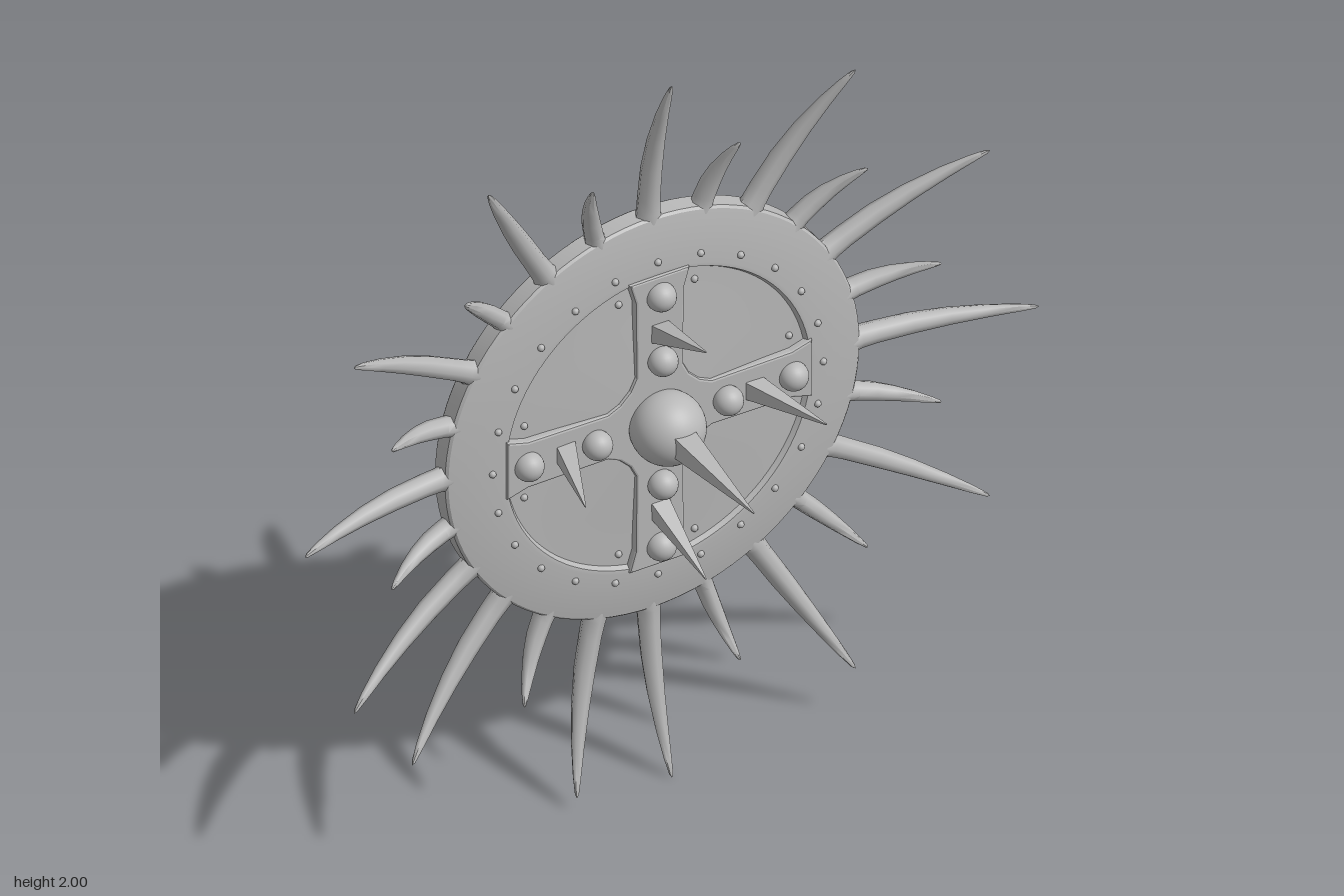
import * as THREE from 'three';
import { toCreasedNormals } from 'three/addons/utils/BufferGeometryUtils.js';

const steel = new THREE.MeshStandardMaterial({ color: 0xb8b8b8 });
steel.name = 'steel grey';

export function createModel() {
  const model = new THREE.Group();
  model.name = 'spikedShield';
  const shield = new THREE.Group(); // origin at the disc centre
  shield.name = 'shield';
  shield.position.y = 1;
  model.add(shield);

  const add = (name, geo, x = 0, y = 0, z = 0) => {
    const m = new THREE.Mesh(geo, steel);
    m.name = name;
    m.position.set(x, y, z);
    shield.add(m);
    return m;
  };
  const around = (r, deg) => [r * Math.cos(deg * Math.PI / 180), r * Math.sin(deg * Math.PI / 180)];

  // Disc: hollow in the back, raised rim, broad front ring, recessed centre
  const profile = [
    [0, -0.165], [0.05, -0.17], [0.08, -0.18], [0.092, -0.19], [0.515, -0.19], [0.52, -0.186],
    [0.53, -0.186], [0.535, -0.194], [0.56, -0.194], [0.564, -0.188], [0.564, -0.142], [0.558, -0.136],
    [0.425, -0.112], [0.415, -0.113], [0.408, -0.125], [0.3, -0.122], [0.15, -0.113], [0, -0.11],
  ].map(p => new THREE.Vector2(...p));
  const disc = add('disc', toCreasedNormals(new THREE.LatheGeometry(profile, 96), 0.45));
  disc.rotation.x = Math.PI / 2;

  // Raised cross with flared middle and ends
  const cross = new THREE.Shape();
  const quarter = [[0.41, -0.075], [0.41, 0.075], [0.36, 0.06], [0.14, 0.058], [0.105, 0.075], [0.075, 0.105], [0.058, 0.14], [0.06, 0.36]];
  const outline = [];
  for (let k = 0; k < 4; k++) {
    const c = Math.round(Math.cos(k * Math.PI / 2)), s = Math.round(Math.sin(k * Math.PI / 2));
    quarter.forEach(([x, y]) => outline.push(new THREE.Vector2(x * c - y * s, x * s + y * c)));
  }
  cross.setFromPoints(outline);
  add('cross', new THREE.ExtrudeGeometry(cross, {
    depth: 0.02, bevelEnabled: true, bevelSize: 0.006, bevelThickness: 0.006, bevelSegments: 2,
  }), 0, 0, -0.13);

  // Rim spikes: tapering, curling forward
  const spikeGeometry = (start, length, tipZ, width) => {
    const rows = [[0, 1.35], [0.06, 1.08], [0.15, 1], [0.35, 0.95], [0.55, 0.8], [0.75, 0.58], [0.9, 0.36], [0.98, 0.18], [1, 0]];
    const n = 8, pos = [], idx = [];
    rows.forEach(([t, s], i) => {
      for (let a = 0; a < n; a++) {
        const q = a * 2 * Math.PI / n;
        pos.push(start + t * length, width * s * Math.cos(q),
          -0.161 + (tipZ + 0.161) * Math.pow(t, 1.9) + Math.min(s, 1) * 0.028 * Math.sin(q));
        if (i < rows.length - 1) {
          const b = i * n + a, c = i * n + (a + 1) % n;
          idx.push(b, c, b + n, c, c + n, b + n);
        }
      }
    });
    const g = new THREE.BufferGeometry();
    g.setAttribute('position', new THREE.Float32BufferAttribute(pos, 3));
    g.setIndex(idx);
    return toCreasedNormals(g, 0.9);
  };
  const longSpike = spikeGeometry(0.545, 0.455, -0.05, 0.028);
  const shortSpike = spikeGeometry(0.545, 0.23, -0.075, 0.024);
  for (let deg = 0; deg < 360; deg += 15) {
    const long = deg === 225 || deg === 255 || (deg % 30 === 0 && deg !== 240);
    add(long ? 'longSpike' : 'shortSpike', long ? longSpike : shortSpike).rotation.z = deg * Math.PI / 180;
  }

  // Rivets round the ring and beside the cross ends
  const rivet = new THREE.SphereGeometry(0.009, 10, 8);
  for (let deg = 0; deg < 360; deg += 15) add('rivet', rivet, ...around(0.45, deg), -0.115);
  for (let k = 0; k < 4; k++) {
    for (const off of [-16, 16]) add('innerRivet', rivet, ...around(0.375, k * 90 + off), -0.122);
  }

  // Square pyramid thorn between two points
  const thorn = (name, from, to, radius) => {
    const a = new THREE.Vector3(...from), b = new THREE.Vector3(...to);
    const dir = b.clone().sub(a), len = dir.length();
    const g = new THREE.CylinderGeometry(0.002, radius, len, 4).toNonIndexed();
    g.rotateY(Math.PI / 4);
    g.computeVertexNormals();
    g.rotateX(Math.PI / 2);
    const m = add(name, g, ...a.clone().add(b).multiplyScalar(0.5).toArray());
    m.quaternion.setFromUnitVectors(new THREE.Vector3(0, 0, 1), dir.normalize());
  };

  // Central boss and the studs and thorns along each arm
  add('centreBoss', new THREE.SphereGeometry(0.092, 40, 28), 0, 0, -0.07);
  thorn('centreThorn', [0, 0, 0], [0, 0, 0.33], 0.042);
  const stud = new THREE.SphereGeometry(0.037, 24, 16);
  for (let deg = 0; deg < 360; deg += 90) {
    add('innerStud', stud, ...around(0.178, deg), -0.092);
    add('outerStud', stud, ...around(0.36, deg), -0.1);
    thorn('armThorn', [...around(0.255, deg), -0.11], [...around(0.328, deg), 0.108], 0.034);
  }

  // Arm strap: thin bowed band with riveted tabs
  const bow = new THREE.CatmullRomCurve3([
    [-0.2, 0.265], [-0.235, 0.25], [-0.285, 0.175], [-0.318, 0.04], [-0.285, -0.11], [-0.235, -0.185], [-0.2, -0.2],
  ].map(([z, y]) => new THREE.Vector3(z, y, 0))).getPoints(36);
  const band = new THREE.Shape([
    ...bow.map(p => new THREE.Vector2(p.x, p.y)),
    ...bow.slice().reverse().map(p => new THREE.Vector2(p.x + 0.009, p.y * 0.97)),
  ]);
  const strapGeo = new THREE.ExtrudeGeometry(band, { depth: 0.115, bevelEnabled: false });
  const strap = add('armStrap', toCreasedNormals(strapGeo, 0.6), 0.238);
  strap.rotation.y = -Math.PI / 2;
  for (const y of [0.295, -0.23]) {
    add('strapTab', new THREE.BoxGeometry(0.095, 0.085, 0.012), 0.18, y, -0.196);
    add('strapRivet', new THREE.SphereGeometry(0.014, 12, 8), 0.18, y, -0.203);
  }

  // Hand grip: bowed middle, tapered ends, four staples
  const gripX = -0.23;
  const gripCurve = new THREE.CatmullRomCurve3(
    [[0.17, -0.212], [0.11, -0.222], [0.05, -0.238], [0, -0.242], [-0.05, -0.238], [-0.11, -0.222], [-0.17, -0.212]]
      .map(([y, z]) => new THREE.Vector3(gripX, y, z)));
  add('gripMiddle', new THREE.TubeGeometry(gripCurve, 32, 0.024, 14));
  for (const side of [1, -1]) {
    const end = add('gripEnd', new THREE.CylinderGeometry(0.017, 0.027, 0.28, 16), gripX, side * 0.295, -0.21);
    if (side < 0) end.rotation.x = Math.PI;
    add('gripTip', new THREE.SphereGeometry(0.019, 14, 10), gripX, side * 0.435, -0.21);
    for (const [y, r] of [[0.15, 0.033], [0.385, 0.026]]) {
      const staple = add('gripStaple', new THREE.TorusGeometry(r, 0.007, 8, 20, Math.PI), gripX, side * y, -0.212);
      staple.rotation.x = -Math.PI / 2;
      add('staplePin', new THREE.BoxGeometry(0.16, 0.012, 0.012), gripX, side * y, -0.192);
    }
  }
  return model;
}
